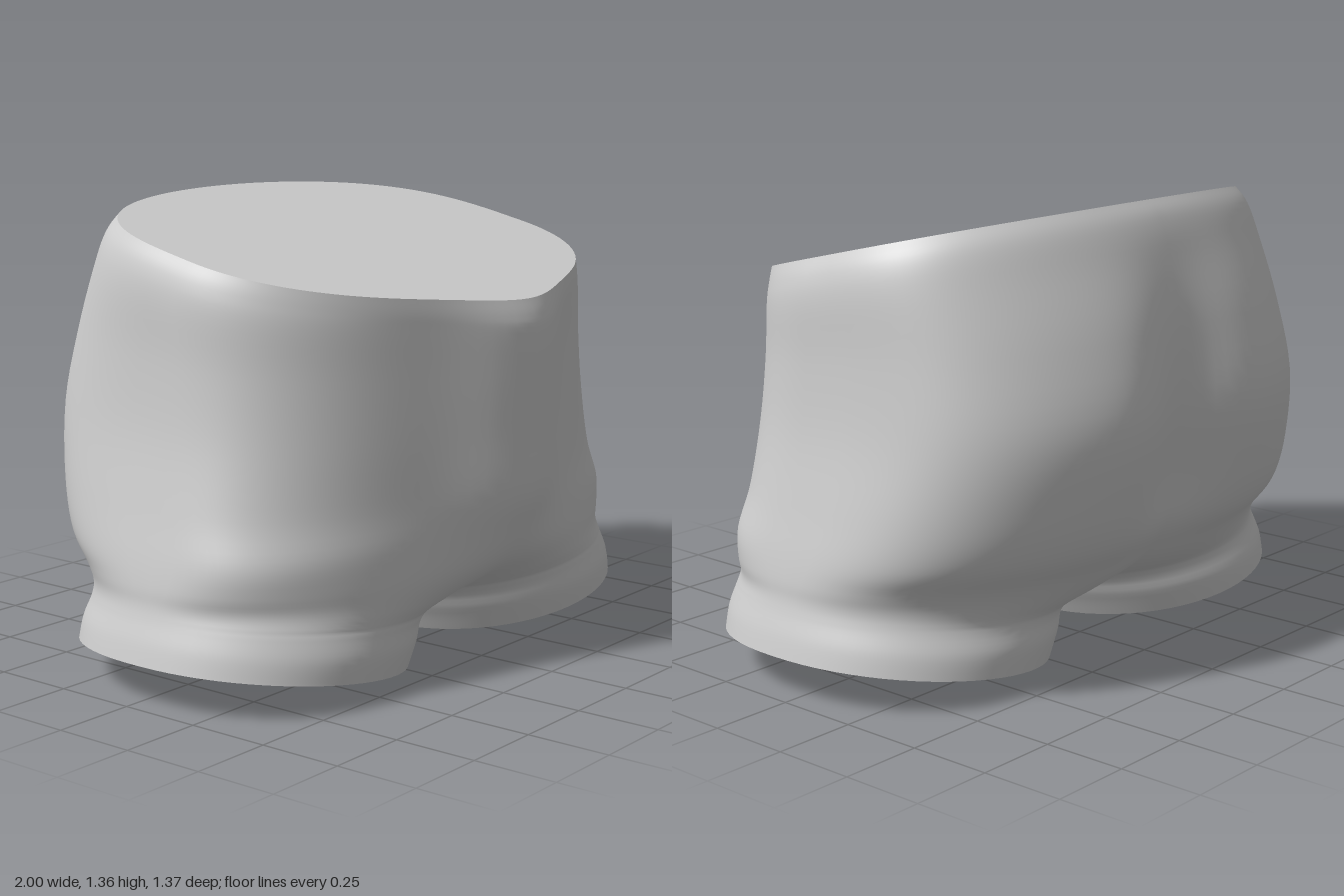
import * as THREE from 'three';
import { mergeVertices } from 'three/addons/utils/BufferGeometryUtils.js';

const AROUND = 64;
const STEPS = 5;

// Cross-sections of one half, hem to waist:
// y, tilt by x, tilt by z, centre x, outer x, centre z, front z, back z, belly, cleft, front power, back power
const HEM_TO_CROTCH = [
  [0.07, 0.14, 0, 0.55, 1.0, 0.05, 0.52, -0.455, 0, 0, 0.9, 0.9],
  [0.14, 0.12, 0, 0.522, 0.985, 0.05, 0.525, -0.455, 0, 0, 0.9, 0.9],
  [0.21, 0.1, 0, 0.4825, 0.965, 0.05, 0.515, -0.44, 0, 0, 0.9, 0.9],
];
const CROTCH_TO_WAIST = [
  [0.26, 0.08, 0, 0.38, 0.955, 0.05, 0.53, -0.47, 0, 0, 0.9, 0.88],
  [0.33, 0.03, 0, 0.2, 0.95, 0.05, 0.555, -0.54, 0.04, 0.02, 0.75, 0.78],
  [0.42, 0, 0, 0.06, 0.935, 0.05, 0.565, -0.635, 0.07, 0.06, 0.65, 0.65],
  [0.55, 0, -0.02, 0, 0.905, 0.05, 0.57, -0.69, 0.1, 0.1, 0.75, 0.57],
  [0.75, 0, -0.05, 0, 0.865, 0.05, 0.575, -0.72, 0.1, 0.1, 0.82, 0.55],
  [0.95, 0, -0.1, 0, 0.845, 0.05, 0.58, -0.665, 0.1, 0.05, 0.88, 0.57],
  [1.12, 0, -0.17, 0, 0.84, 0.05, 0.585, -0.58, 0.095, 0.01, 0.92, 0.6],
  [1.2, 0, -0.22, 0, 0.825, 0.06, 0.59, -0.535, 0.08, 0, 0.95, 0.6],
  [1.25, 0, -0.235, 0, 0.8, 0.08, 0.59, -0.5, 0.06, 0, 0.95, 0.6],
];
const SECTIONS = [...HEM_TO_CROTCH, ...CROTCH_TO_WAIST];

// Smooth interpolation between sections
function sectionAt(t) {
  const last = SECTIONS.length - 1;
  const i = Math.min(Math.floor(t), last - 1);
  const f = t - i;
  const row = (k) => SECTIONS[Math.max(0, Math.min(last, k))];
  const [a, b, c, d] = [row(i - 1), row(i), row(i + 1), row(i + 2)];
  return b.map((p, k) => {
    const m0 = (c[k] - a[k]) / 2;
    const m1 = (d[k] - p) / 2;
    const e = p - c[k];
    return p + f * (m0 + f * (-3 * e - 2 * m0 - m1 + f * (2 * e + m0 + m1)));
  });
}

// Arc from front to back: a full loop on the leg, ending on the middle plane above the crotch
function arcAt(t) {
  const [y, tiltX, tiltZ, cx, outer, cz, front, back, belly, cleft, pf, pb] = sectionAt(t);
  const start = Math.asin(Math.max(-1, Math.min(1, -cx / (outer - cx))));
  return Array.from({ length: AROUND + 1 }, (_, j) => {
    const angle = start + (j / AROUND) * (Math.PI - 2 * start);
    const c = Math.cos(angle);
    let x = cx + (outer - cx) * Math.sin(angle);
    if (x < 0.001) x = 0;
    const z = c > 0
      ? cz + (front - cz) * Math.pow(c, pf) + belly * c * Math.exp(-((x / 0.25) ** 2))
      : cz + (back - cz) * Math.pow(-c, pb) - cleft * c * Math.exp(-((x / 0.19) ** 2));
    return [x, y + tiltX * (x - 0.55) + tiltZ * z, z];
  });
}

// Adds a triangle and its mirror twin
function addTriangle(out, a, b, c) {
  const flip = (p) => [-p[0], p[1], p[2]];
  out.push(...a, ...b, ...c, ...flip(a), ...flip(c), ...flip(b));
}

function makeMesh(name, positions, material) {
  let geometry = new THREE.BufferGeometry();
  geometry.setAttribute('position', new THREE.Float32BufferAttribute(positions, 3));
  geometry = mergeVertices(geometry, 1e-5);
  geometry.computeVertexNormals();
  const mesh = new THREE.Mesh(geometry, material);
  mesh.name = name;
  return mesh;
}

export function createModel() {
  const group = new THREE.Group();
  group.name = 'shorts';
  const grey = new THREE.MeshStandardMaterial({ color: 0xcccccc });
  grey.name = 'plain grey';

  const count = (SECTIONS.length - 1) * STEPS;
  const arcs = Array.from({ length: count + 1 }, (_, i) => arcAt(i / STEPS));
  const bottom = arcs[0];
  const top = arcs[count];

  // Body and both legs as one smooth skin
  const skin = [];
  for (let i = 0; i < count; i++) {
    for (let j = 0; j < AROUND; j++) {
      addTriangle(skin, arcs[i][j], arcs[i][j + 1], arcs[i + 1][j + 1]);
      addTriangle(skin, arcs[i][j], arcs[i + 1][j + 1], arcs[i + 1][j]);
    }
  }
  group.add(makeMesh('body', skin, grey));

  // Flat closing faces at the waist and the two hems
  const waist = [];
  const hems = [];
  for (let j = 0; j < AROUND; j++) {
    addTriangle(waist, [0, 1.25 - 0.235 * 0.08, 0.08], top[j], top[j + 1]);
    addTriangle(hems, [0.55, 0.07, 0.05], bottom[j + 1], bottom[j]);
  }
  group.add(makeMesh('waistFace', waist, grey));
  group.add(makeMesh('legFaces', hems, grey));

  return group;
}
